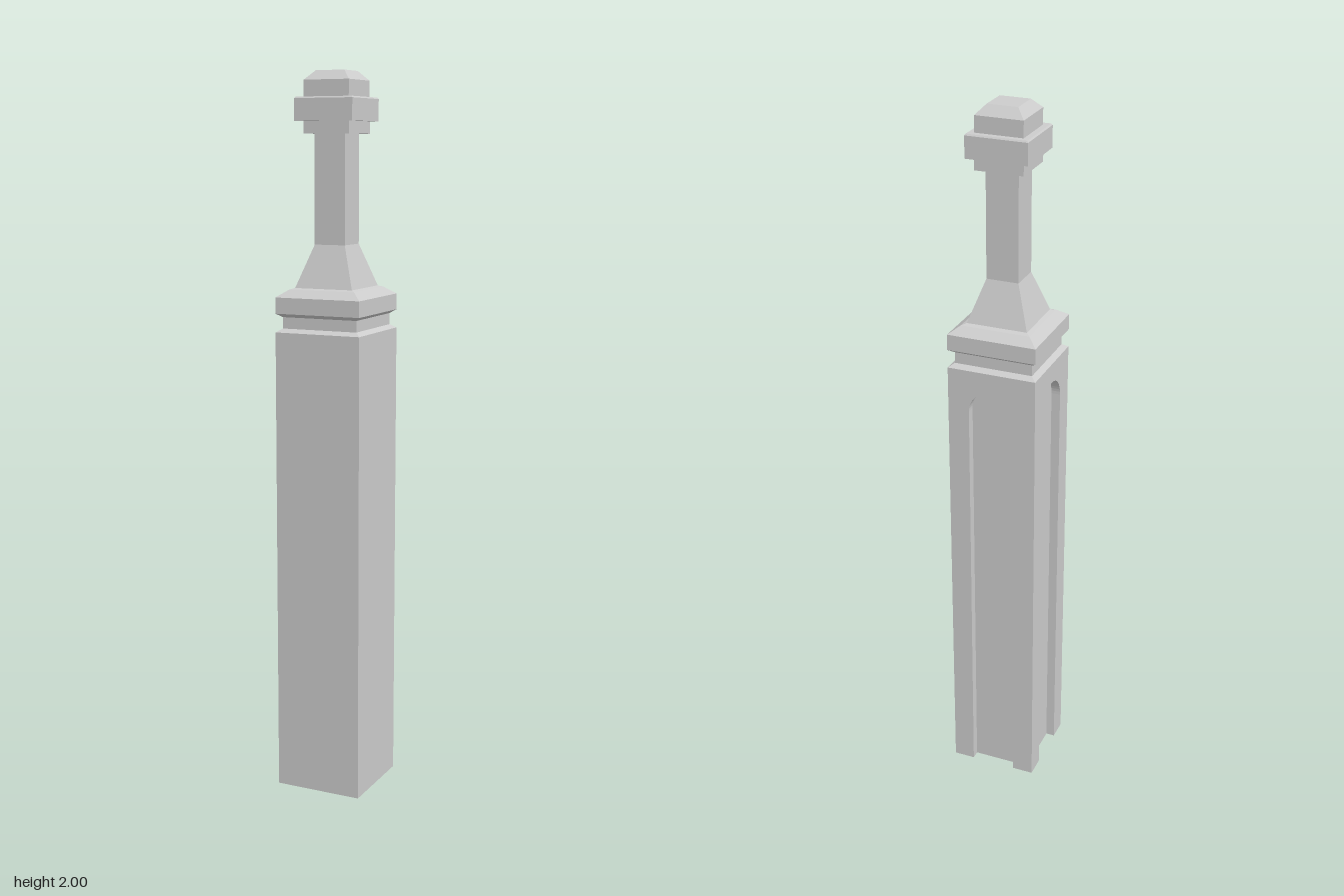
import * as THREE from 'three';

const HALF = 0.125;      // half width of the post
const DEPTH = 0.025;     // depth of the arched recesses
const BODY_TOP = 1.305;

// Square turned section: profile of [half width, height], bottom to top
function squareTurned(name, profile, material) {
  const points = profile.map(([w, y]) => new THREE.Vector2(w * Math.SQRT2, y));
  const mesh = new THREE.Mesh(new THREE.LatheGeometry(points, 4, Math.PI / 4), material);
  mesh.name = name;
  return mesh;
}

// Face panel from u0 to u1 with a round-topped slot open at the bottom
function archedPanel(name, u0, u1, material) {
  const r = 0.065, spring = 1.185;
  const s = new THREE.Shape();
  s.moveTo(u0, 0);
  s.lineTo(-r, 0);
  s.lineTo(-r, spring);
  s.absarc(0, spring, r, Math.PI, 0, true);
  s.lineTo(r, 0);
  s.lineTo(u1, 0);
  s.lineTo(u1, BODY_TOP);
  s.lineTo(u0, BODY_TOP);
  s.closePath();
  const geo = new THREE.ExtrudeGeometry(s, { depth: DEPTH, bevelEnabled: false, curveSegments: 12 });
  const mesh = new THREE.Mesh(geo, material);
  mesh.name = name;
  return mesh;
}

export function createModel() {
  const group = new THREE.Group();
  group.name = 'newelPost';
  const grey = new THREE.MeshStandardMaterial({ color: 0xcccccc });
  grey.name = 'plainGrey';
  grey.flatShading = true;

  // Solid core, plain on the front and on the +x side
  const size = 2 * HALF - DEPTH;
  const core = new THREE.Mesh(new THREE.BoxGeometry(size, BODY_TOP, size), grey);
  core.position.set(DEPTH / 2, BODY_TOP / 2, DEPTH / 2);
  core.name = 'postCore';

  // Recessed arches on the back and on the -x side
  const back = archedPanel('backArchPanel', -HALF, HALF, grey);
  back.position.z = -HALF;
  const side = archedPanel('sideArchPanel', -HALF + DEPTH, HALF, grey);
  side.rotation.y = -Math.PI / 2;
  side.position.x = -HALF + DEPTH;

  // Neck groove and capping ledge
  const ledge = squareTurned('neckAndLedge', [
    [HALF, BODY_TOP], [0.11, 1.315], [0.11, 1.346], [HALF, 1.356],
    [HALF, 1.4], [0.097, 1.42], [0.085, 1.424],
  ], grey);

  // Flared foot and slender stem
  const stem = squareTurned('stem', [[0.085, 1.424], [0.045, 1.54], [0.045, 1.84]], grey);

  // Stepped finial with a bevelled top
  const finial = squareTurned('finial', [
    [0, 1.835], [0.067, 1.835], [0.067, 1.868], [0.085, 1.868], [0.085, 1.927],
    [0.082, 1.931], [0.066, 1.931], [0.066, 1.975], [0.042, 2], [0, 2],
  ], grey);

  group.add(core, back, side, ledge, stem, finial);
  return group;
}
